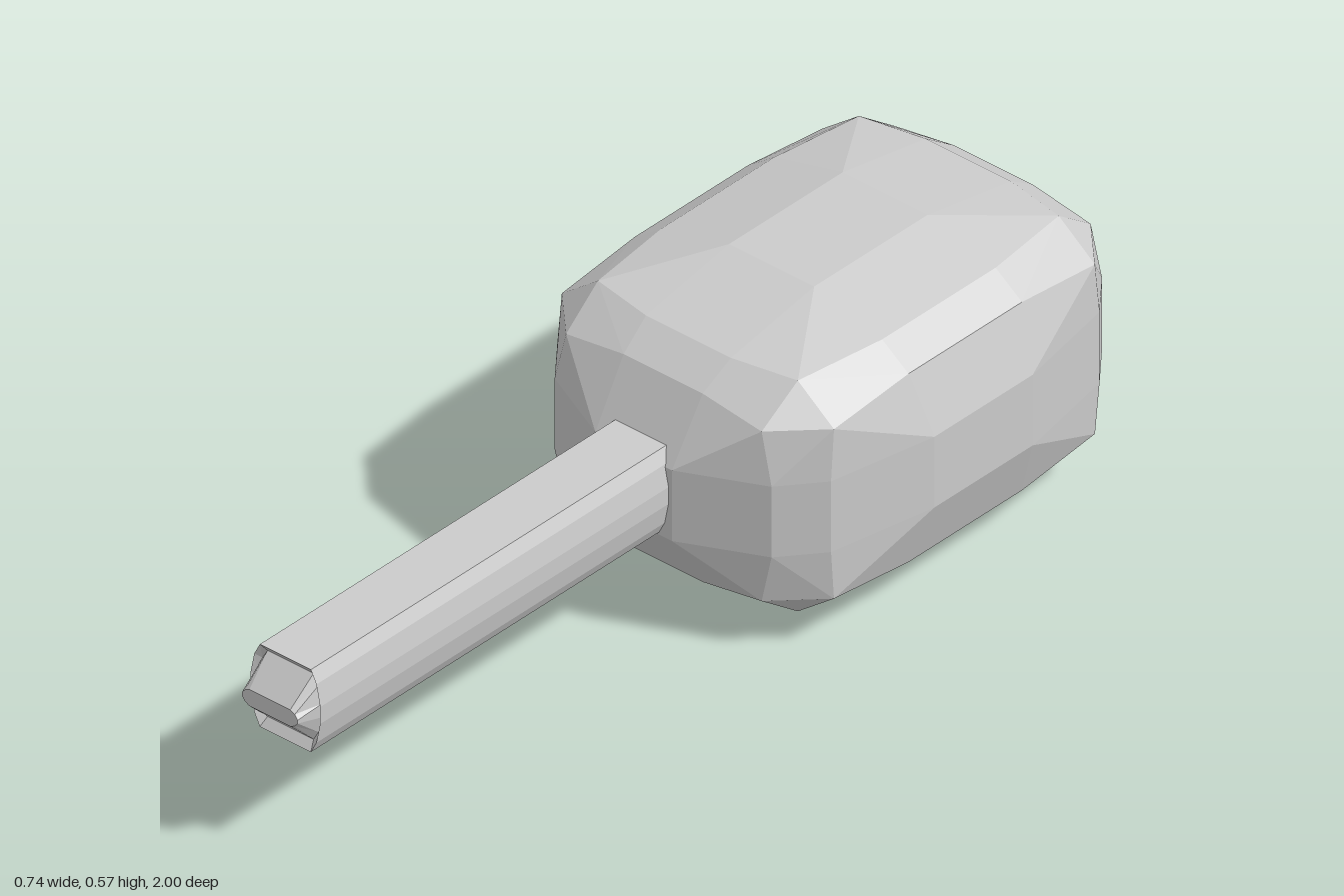
import * as THREE from 'three';
import { ConvexGeometry } from 'three/addons/geometries/ConvexGeometry.js';

const grey = new THREE.MeshStandardMaterial({ color: 0xcccccc, flatShading: true });

// Chamfered block with domed sides: one octant of points, mirrored eight ways
function headGeometry() {
  const octant = [
    // front panel: dome, top edge, side edge, corner
    [0.09, 0.075, 0.515], [0.093, 0.2, 0.437], [0.255, 0.075, 0.437], [0.23, 0.18, 0.435],
    // side panel
    [0.365, 0.075, 0.13], [0.322, 0.2, 0.15], [0.322, 0.075, 0.355], [0.32, 0.18, 0.345],
    // top panel
    [0.1, 0.285, 0.15], [0.1, 0.245, 0.37], [0.26, 0.245, 0.15], [0.235, 0.245, 0.345],
  ];
  const points = [];
  for (const sx of [1, -1]) for (const sy of [1, -1]) for (const sz of [1, -1]) {
    for (const [x, y, z] of octant) points.push(new THREE.Vector3(x * sx, y * sy, z * sz));
  }
  return new ConvexGeometry(points);
}

// Loft of one section through rings of [z, x scale, y scale], closed at both ends
function loft(section, rings) {
  const n = section.length, position = [], index = [];
  for (const [z, sx, sy] of rings) {
    for (const [x, y] of section) position.push(x * sx, y * sy, z);
  }
  for (let r = 0; r < rings.length - 1; r++) {
    for (let j = 0; j < n; j++) {
      const a = r * n + j, b = r * n + (j + 1) % n;
      index.push(a, b, b + n, a, b + n, a + n);
    }
  }
  const last = (rings.length - 1) * n;
  for (let j = 1; j < n - 1; j++) {
    index.push(0, j + 1, j);
    index.push(last, last + j, last + j + 1);
  }
  const geometry = new THREE.BufferGeometry();
  geometry.setAttribute('position', new THREE.Float32BufferAttribute(position, 3));
  geometry.setIndex(index);
  geometry.computeVertexNormals();
  return geometry;
}

export function createModel() {
  const model = new THREE.Group();
  model.name = 'mallet';

  // Head and handle share one axis, turned slightly about y
  const axis = new THREE.Group();
  axis.name = 'malletBody';
  axis.position.set(0, 0, -0.48);
  axis.rotation.y = 0.047;
  model.add(axis);

  const head = new THREE.Mesh(headGeometry(), grey);
  head.name = 'head';
  head.position.y = 0.285;
  axis.add(head);

  // Handle: flat top and bottom, rounded sides, small domed end set in a rim
  const side = [[0.06, -0.0875], [0.073, -0.062], [0.082, -0.018], [0.082, 0.018], [0.073, 0.062], [0.06, 0.0875]];
  const section = [...side, ...side.map(([x, y]) => [-x, -y])];
  const handle = new THREE.Mesh(loft(section, [
    [0.3, 1, 1], [1.436, 1, 1], [1.422, 0.9, 0.8], [1.477, 0.8, 0.2],
  ]), grey);
  handle.name = 'handle';
  handle.position.y = 0.303;
  axis.add(handle);

  return model;
}
